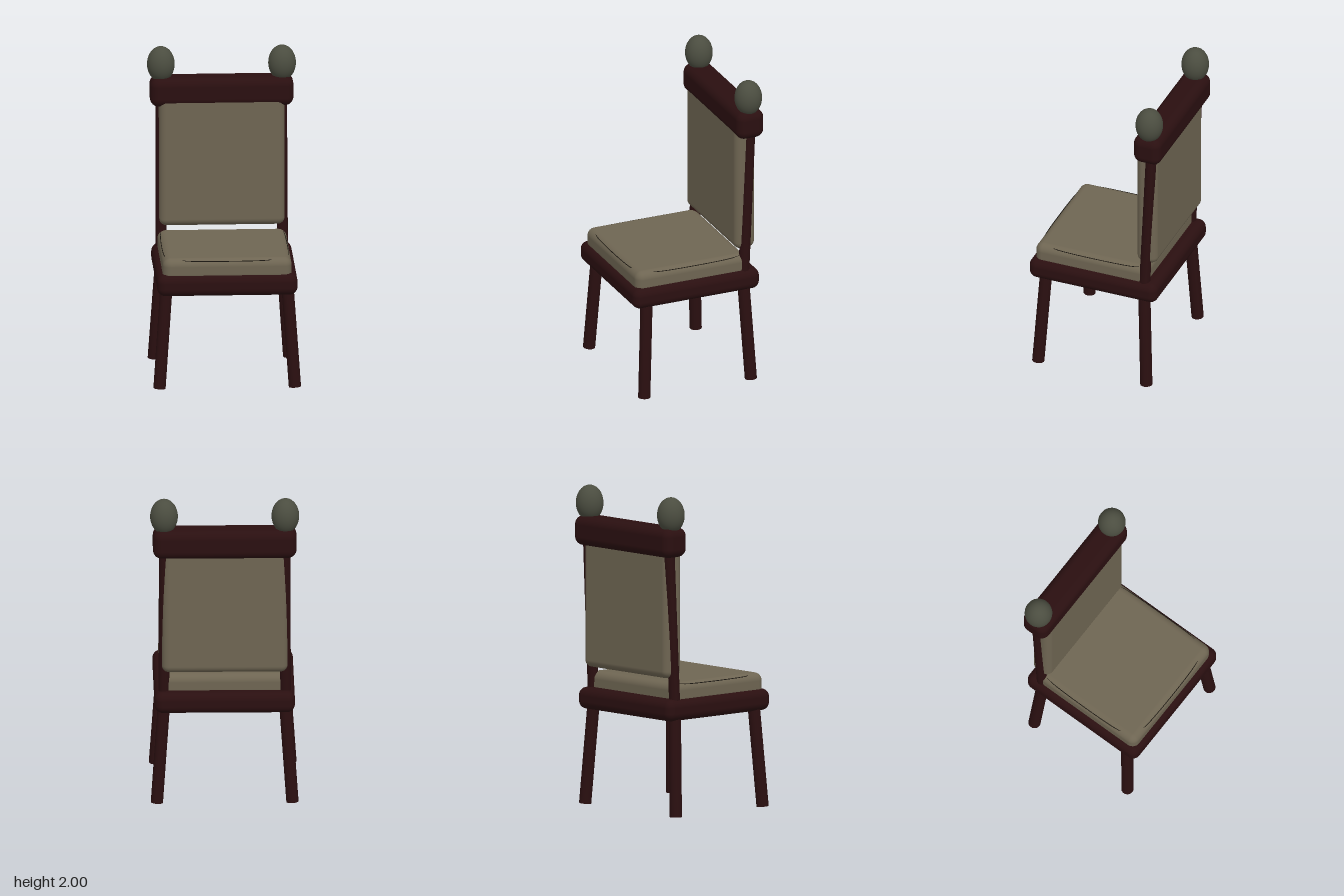
import * as THREE from 'three';
import { RoundedBoxGeometry } from 'three/addons/geometries/RoundedBoxGeometry.js';

const material = (name, color) => {
  const m = new THREE.MeshStandardMaterial({ color });
  m.name = name;
  return m;
};

export function createModel() {
  const model = new THREE.Group();
  model.name = 'chair';
  const wood = material('dark wood', 0x2a0f10);
  const fabric = material('beige fabric', 0x6e6552);
  const stone = material('grey green finial', 0x4b4d40);
  const seam = material('dark seam', 0x1c1812);

  const add = (name, geometry, mat) => {
    const mesh = new THREE.Mesh(geometry, mat);
    mesh.name = name;
    model.add(mesh);
    return mesh;
  };

  // Rounded box given by its lower and upper corners
  const box = (name, min, max, radius, mat) => {
    const size = max.map((v, i) => v - min[i]);
    const mesh = add(name, new RoundedBoxGeometry(...size, 6, radius), mat);
    mesh.position.set(...max.map((v, i) => (v + min[i]) / 2));
  };

  // Round bar between two points
  const bar = (name, from, to, radius) => {
    const a = new THREE.Vector3(...from);
    const b = new THREE.Vector3(...to);
    const dir = b.clone().sub(a);
    const mesh = add(name, new THREE.CylinderGeometry(radius, radius, dir.length(), 24), wood);
    mesh.position.copy(a).add(b).multiplyScalar(0.5);
    mesh.quaternion.setFromUnitVectors(new THREE.Vector3(0, 1, 0), dir.normalize());
  };

  // Thin seam following a few points
  const seamLine = (name, points) => {
    const curve = new THREE.CatmullRomCurve3(points.map((p) => new THREE.Vector3(...p)));
    add(name, new THREE.TubeGeometry(curve, 24, 0.0025, 6), seam);
  };

  // Seat, upholstery and top rail
  box('seatFrame', [-0.435, 0.6, -0.415], [0.435, 0.735, 0.44], 0.05, wood);
  box('seatCushion', [-0.4, 0.69, -0.34], [0.4, 0.835, 0.41], 0.05, fabric);
  box('backCushion', [-0.39, 0.865, -0.4], [0.39, 1.74, -0.265], 0.045, fabric);
  box('topRail', [-0.445, 1.625, -0.442], [0.445, 1.81, -0.26], 0.055, wood);

  // Splayed legs, back posts and finials, mirrored left and right
  for (const [side, s] of [['left', 1], ['right', -1]]) {
    bar(side + 'FrontLeg', [s * 0.42, 0.003, 0.373], [s * 0.375, 0.65, 0.337], 0.038);
    bar(side + 'BackLeg', [s * 0.42, 0.003, -0.35], [s * 0.375, 0.65, -0.318], 0.038);
    bar(side + 'BackPost', [s * 0.377, 0.68, -0.32], [s * 0.373, 1.7, -0.366], 0.034);

    const finial = add(side + 'Finial', new THREE.SphereGeometry(1, 32, 24), stone);
    finial.scale.set(0.086, 0.112, 0.086);
    finial.position.set(s * 0.376, 1.888, -0.352);

    seamLine(side + 'CushionSeam', [
      [s * 0.376, 0.825, -0.29], [s * 0.385, 0.821, -0.22],
      [s * 0.385, 0.821, 0.25], [s * 0.372, 0.825, 0.325],
    ]);
  }
  seamLine('frontCushionSeam', [
    [-0.31, 0.825, 0.382], [-0.24, 0.821, 0.395], [0.24, 0.821, 0.395], [0.31, 0.825, 0.382],
  ]);

  return model;
}
